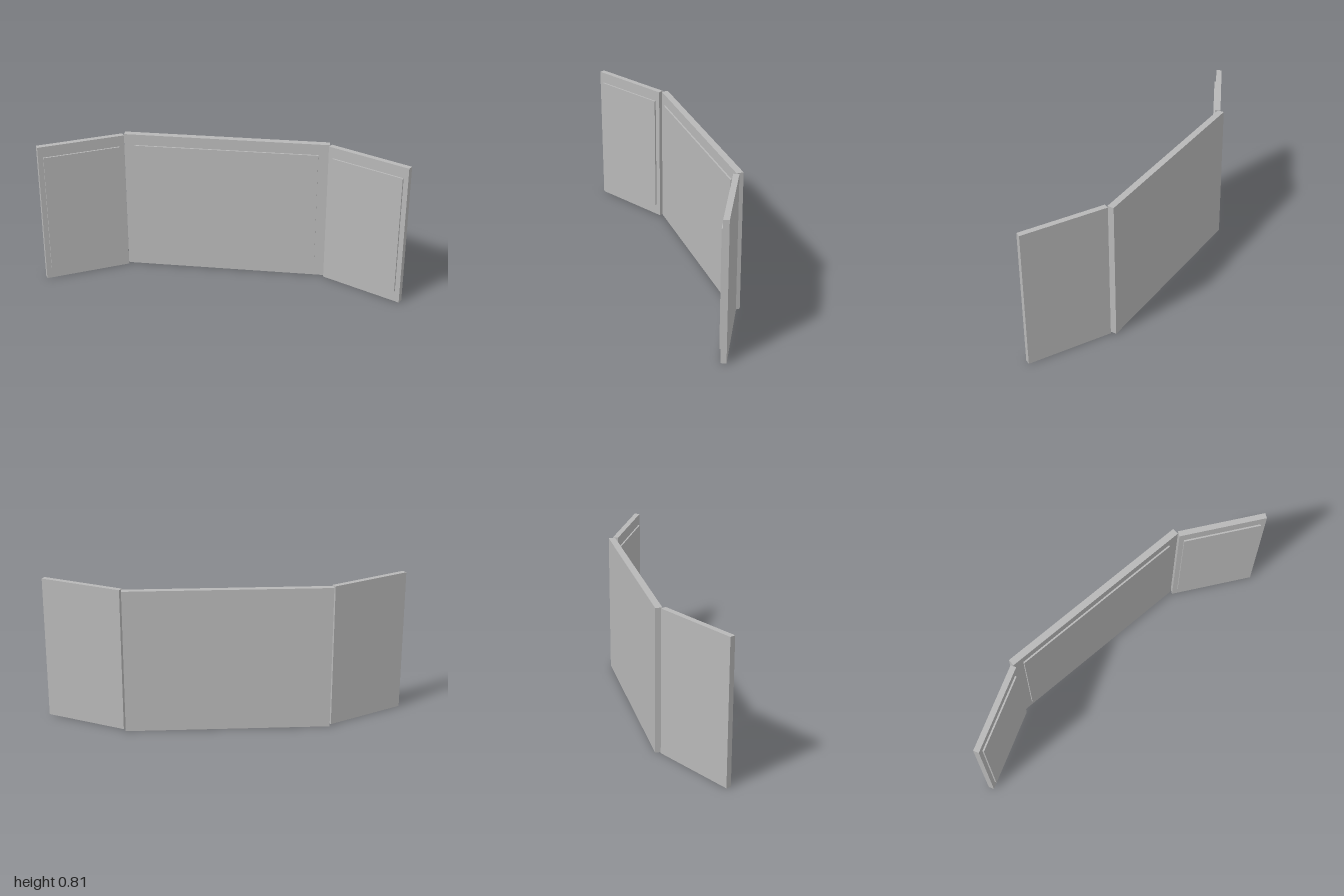
import * as THREE from 'three';

const HEIGHT = 0.807;
const INSET_BOTTOM = 0.065, INSET_TOP = 0.745, INSET_DEPTH = 0.009;

export function createModel() {
  const grey = new THREE.MeshStandardMaterial({ color: 0xb8b8b8 });
  grey.name = 'panelGrey';

  // A flat board with a thin raised field on its front (+z); origin at the back face centre
  function panel(name, width, depth, margin) {
    const group = new THREE.Group();
    group.name = name;

    const board = new THREE.Mesh(new THREE.BoxGeometry(width, HEIGHT, depth), grey);
    board.name = name + 'Board';
    board.position.set(0, HEIGHT / 2, depth / 2);

    const fieldHeight = INSET_TOP - INSET_BOTTOM;
    const field = new THREE.Mesh(
      new THREE.BoxGeometry(width - margin * 2, fieldHeight, INSET_DEPTH), grey);
    field.name = name + 'RaisedField';
    field.position.set(0, INSET_BOTTOM + fieldHeight / 2, depth + INSET_DEPTH / 2);

    group.add(board, field);
    return group;
  }

  const model = new THREE.Group();
  model.name = 'threePanelScreen';

  // Wide centre panel
  const centre = panel('centrePanel', 1.128, 0.037, 0.059);
  centre.position.z = -0.14;
  model.add(centre);

  // Side wings, angled forward
  const inner = new THREE.Vector2(0.575, -0.113);
  const outer = new THREE.Vector2(1, 0.113);
  const angle = Math.atan2(outer.y - inner.y, outer.x - inner.x);
  for (const side of [1, -1]) {
    const wing = panel(side > 0 ? 'leftWing' : 'rightWing', inner.distanceTo(outer), 0.031, 0.028);
    wing.position.set(side * (inner.x + outer.x) / 2, 0, (inner.y + outer.y) / 2);
    wing.rotation.y = -side * angle;
    model.add(wing);
  }

  return model;
}
